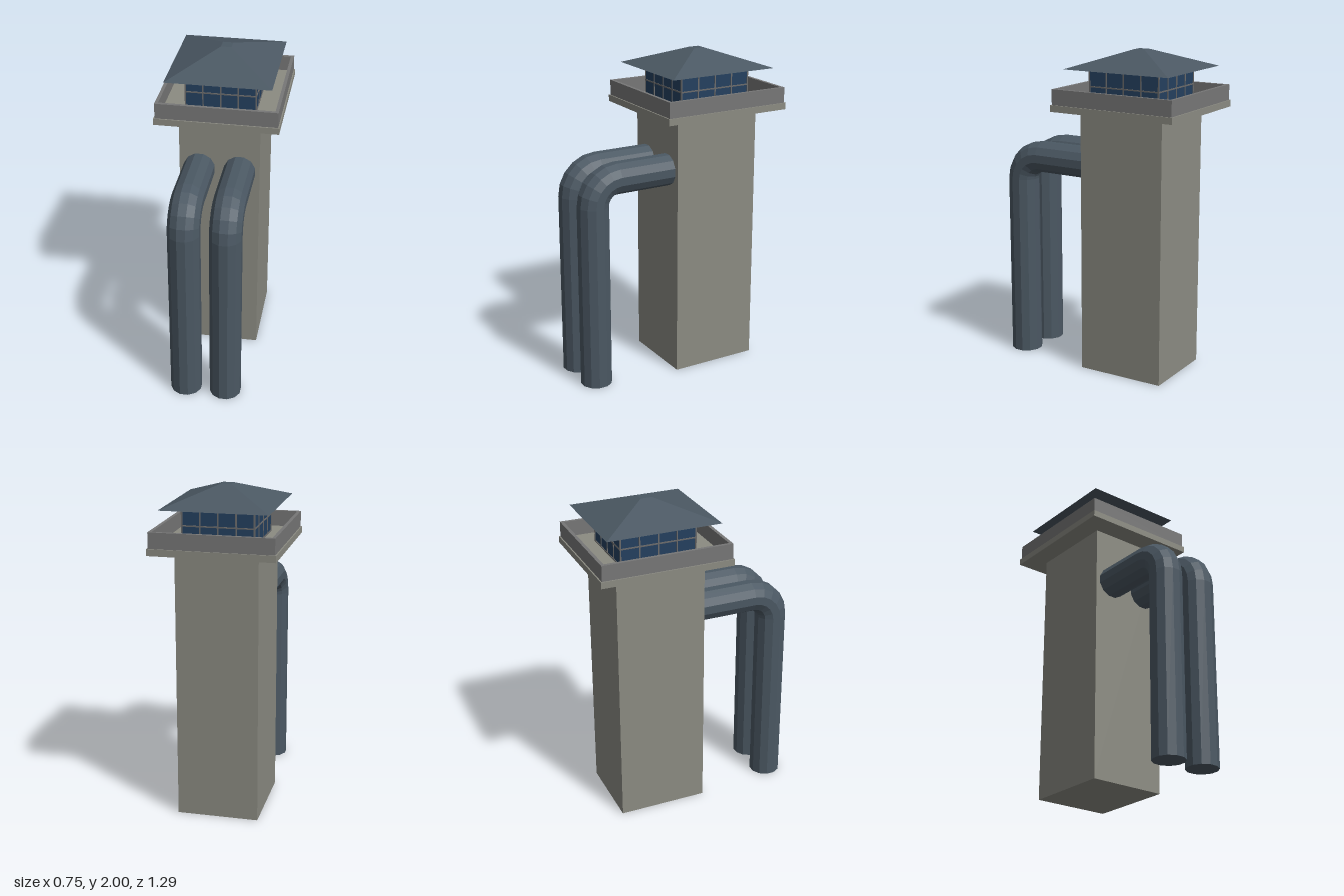
import * as THREE from 'three';

const mat = (color) => new THREE.MeshStandardMaterial({ color, flatShading: true });
const concrete = mat(0x8b8b82), parapetGrey = mat(0x777777), steel = mat(0x4b5863);
const glass = mat(0x24405f), frameGrey = mat(0x6b6b6b);

const TOWER_Z = -0.237; // centre of the tower
const DECK_Y = 1.68, EAVE_Y = 1.89;

function add(parent, name, geometry, material, x = 0, y = 0, z = 0) {
  const mesh = new THREE.Mesh(geometry, material);
  mesh.name = name;
  mesh.position.set(x, y, z);
  parent.add(mesh);
  return mesh;
}

// Box given by its bottom and top heights
function block(parent, name, material, w, d, y0, y1, x = 0, z = 0) {
  return add(parent, name, new THREE.BoxGeometry(w, y1 - y0, d), material, x, (y0 + y1) / 2, z);
}

// Open square rim around the deck
function rimGeometry(w, d, t, h) {
  const rect = (C, a, b) => new C([[-a, -b], [a, -b], [a, b], [-a, b]].map((p) => new THREE.Vector2(...p)));
  const shape = rect(THREE.Shape, w / 2, d / 2);
  shape.holes.push(rect(THREE.Path, w / 2 - t, d / 2 - t));
  return new THREE.ExtrudeGeometry(shape, { depth: h, bevelEnabled: false }).rotateX(-Math.PI / 2);
}

// Hipped roof: a four-sided frustum stretched to separate eave and top sizes
function roofGeometry(eave, top, h) {
  const geo = new THREE.CylinderGeometry(Math.SQRT1_2, Math.SQRT1_2, h, 4).rotateY(Math.PI / 4);
  const p = geo.attributes.position;
  for (let i = 0; i < p.count; i++) {
    const [w, d] = p.getY(i) > 0 ? top : eave;
    p.setX(i, p.getX(i) * w);
    p.setZ(i, p.getZ(i) * d);
  }
  return geo.toNonIndexed();
}

// Pipe: a capped cylinder whose rings rise, turn backwards and run into the tower
function pipeGeometry() {
  const bends = 5, rings = bends + 2, radius = 0.098;
  const pipeZ = 0.552, pipeY = 1.3, R = 0.15, endZ = 0;
  const geo = new THREE.CylinderGeometry(radius, radius, 1, 12, rings).rotateY(Math.PI / 12);
  const p = geo.attributes.position;
  for (let i = 0; i < p.count; i++) {
    const ring = Math.round((p.getY(i) + 0.5) * rings);
    const a = THREE.MathUtils.clamp((ring - 1) / bends, 0, 1) * Math.PI / 2;
    let cy = pipeY - R + R * Math.sin(a), cz = pipeZ - R + R * Math.cos(a);
    if (ring === 0) cy = 0;
    if (ring === rings) cz = endZ;
    const off = p.getZ(i);
    p.setY(i, cy + off * Math.sin(a));
    p.setZ(i, cz + off * Math.cos(a));
  }
  geo.computeVertexNormals();
  return geo;
}

export function createModel() {
  const model = new THREE.Group();
  model.name = 'ventilationTower';

  // Shaft, deck slab and parapet
  const tower = new THREE.Group();
  tower.name = 'tower';
  tower.position.z = TOWER_Z;
  model.add(tower);
  block(tower, 'shaft', concrete, 0.494, 0.555, 0, 1.64);
  block(tower, 'deckSlab', concrete, 0.745, 0.822, 1.64, DECK_Y);
  add(tower, 'parapet', rimGeometry(0.73, 0.806, 0.02, 0.095), parapetGrey, 0, DECK_Y, 0);

  // Glazed cabin with four panes by two on each side
  const W = 0.424, D = 0.468, bar = 0.008;
  const cabin = new THREE.Group();
  cabin.name = 'glazedCabin';
  tower.add(cabin);
  block(cabin, 'windows', glass, W, D, DECK_Y, EAVE_Y);
  for (const s of [-1, 1]) {
    for (let i = 0; i <= 4; i++) {
      const t = i / 4 - 0.5;
      block(cabin, 'mullion', frameGrey, bar, bar, DECK_Y, EAVE_Y, t * W, s * D / 2);
      if (i > 0 && i < 4) block(cabin, 'mullion', frameGrey, bar, bar, DECK_Y, EAVE_Y, s * W / 2, t * D);
    }
  }
  for (const y of [DECK_Y, 1.781, EAVE_Y - bar]) {
    block(cabin, 'transom', frameGrey, W + bar, D + bar, y, y + bar);
  }

  // Roof
  add(tower, 'roof', roofGeometry([0.638, 0.704], [0.064, 0.07], 0.11), steel, 0, 1.945, 0);

  // Pair of bent pipes at the front
  const pipe = pipeGeometry();
  add(model, 'leftPipe', pipe, steel, 0.124);
  add(model, 'rightPipe', pipe, steel, -0.124);

  return model;
}
